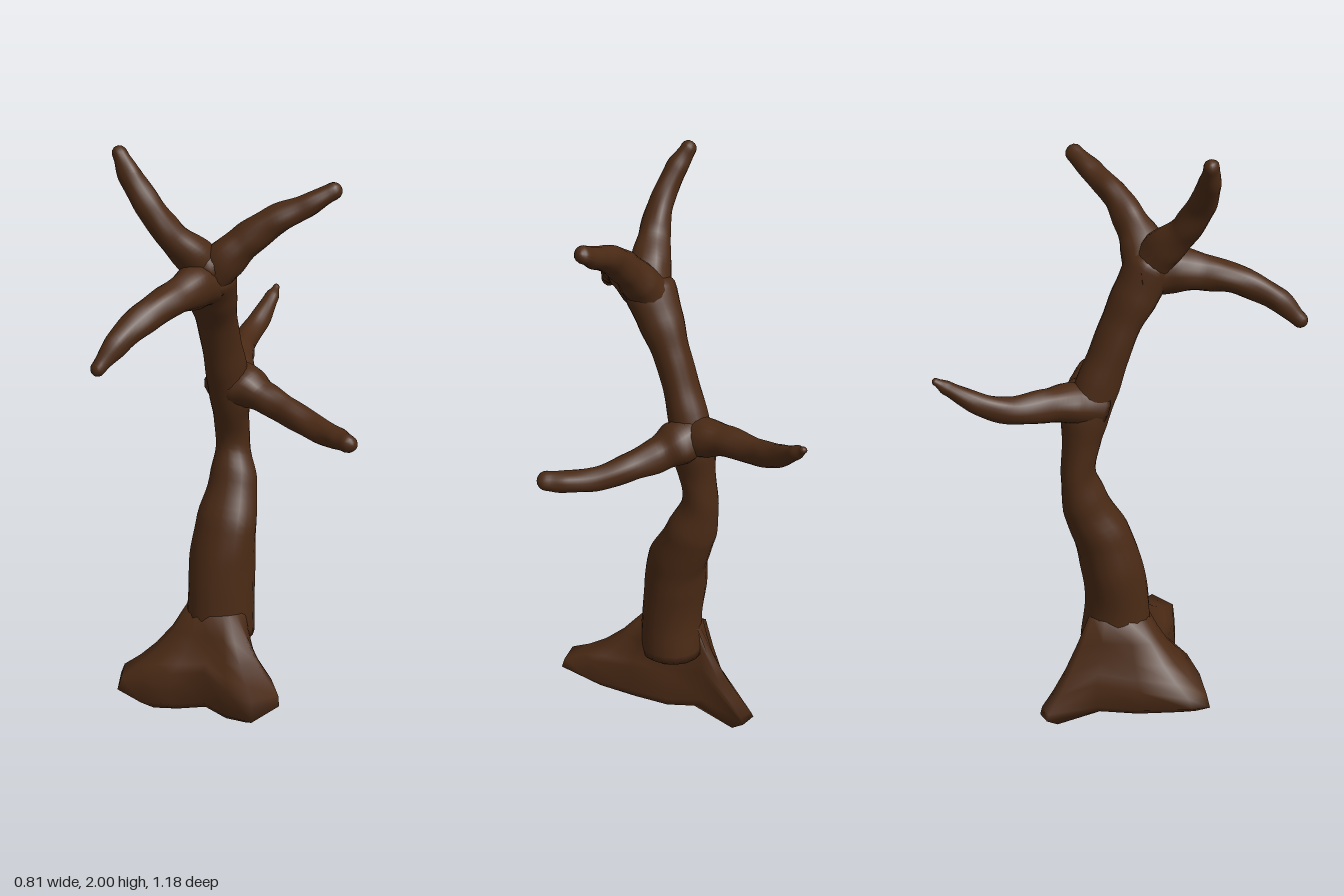
import * as THREE from 'three';

const bark = new THREE.MeshStandardMaterial({ color: 0x4a2a15, roughness: 0.9 });

// Builds a smooth skin over closed rings of equal length, with optional end points
function skin(name, rings, startPoint, endPoint) {
  const n = rings[0].length, pos = [], idx = [];
  rings.forEach(r => r.forEach(p => pos.push(p.x, p.y, p.z)));
  for (let i = 0; i < rings.length - 1; i++)
    for (let j = 0; j < n; j++) {
      const k = (j + 1) % n, a = i * n + j, b = i * n + k, c = a + n, d = b + n;
      idx.push(a, b, c, b, d, c);
    }
  const cap = (p, base, flip) => {
    const c = pos.length / 3;
    pos.push(p.x, p.y, p.z);
    for (let j = 0; j < n; j++) {
      const a = base + j, b = base + (j + 1) % n;
      idx.push(...(flip ? [b, a, c] : [a, b, c]));
    }
  };
  if (startPoint) cap(startPoint, 0, true);
  if (endPoint) cap(endPoint, (rings.length - 1) * n, false);
  const geo = new THREE.BufferGeometry();
  geo.setAttribute('position', new THREE.Float32BufferAttribute(pos, 3));
  geo.setIndex(idx);
  geo.computeVertexNormals();
  const mesh = new THREE.Mesh(geo, bark);
  mesh.name = name;
  return mesh;
}

// Tapered limb through [x, y, z, radius] stations, with a rounded tip and knobbly bark
function limb(name, stations, steps = 40, sides = 16) {
  const curve = new THREE.CatmullRomCurve3(stations.map(s => new THREE.Vector3(s[0], s[1], s[2])));
  const frames = curve.computeFrenetFrames(steps, false);
  const last = stations.length - 1;
  const ring = (c, i, r, t) => Array.from({ length: sides }, (_, j) => {
    const a = j / sides * Math.PI * 2;
    const k = r * (1 + 0.05 * Math.sin(2 * a + t * 9) + 0.03 * Math.sin(3 * a - t * 23));
    return c.clone().addScaledVector(frames.normals[i], Math.cos(a) * k)
      .addScaledVector(frames.binormals[i], Math.sin(a) * k);
  });
  const rings = [];
  for (let i = 0; i <= steps; i++) {
    const t = i / steps, f = Math.min(t * last, last - 1e-6), s = Math.floor(f);
    const r = THREE.MathUtils.lerp(stations[s][3], stations[s + 1][3], THREE.MathUtils.smoothstep(f - s, 0, 1));
    rings.push(ring(curve.getPoint(t), i, r, t));
  }
  // getPoint spaces rings by station, so the radii stay in step with the path
  const tip = curve.getPoint(1), dir = curve.getTangent(1), rTip = stations[last][3];
  for (const a of [0.4, 0.8, 1.2])
    rings.push(ring(tip.clone().addScaledVector(dir, rTip * Math.sin(a)), steps, rTip * Math.cos(a), 1));
  return skin(name, rings, curve.getPoint(0), tip.clone().addScaledVector(dir, rTip));
}

// Flared three-lobed root base: rim corners are [x, z, upper y, lower y]
function rootBase() {
  const rim = [
    [0.2, 0.28, 0.19, 0.13], [0.12, 0.33, 0.18, 0.08], [0.02, 0.29, 0.17, 0.06], [-0.09, 0.22, 0.19, 0.05],
    [-0.2, 0.25, 0.18, 0.04], [-0.3, 0.255, 0.16, 0.03], [-0.39, 0.245, 0.13, 0.06], [-0.405, 0.17, 0.14, 0.08],
    [-0.31, 0.03, 0.14, 0.05], [-0.225, -0.1, 0.15, 0.04], [-0.21, -0.275, 0.06, 0.015], [-0.155, -0.28, 0.06, 0.01],
    [-0.13, -0.1, 0.17, 0.03], [-0.01, -0.04, 0.2, 0.06], [0.06, 0.08, 0.2, 0.07], [0.15, 0.2, 0.2, 0.1]];
  const cx = -0.09, cz = 0.02;
  const top = rim.map(([x, z]) => {
    const a = Math.atan2(z - cz, x - cx);
    return new THREE.Vector3(cx + 0.108 * Math.cos(a), 0.36, cz + 0.108 * Math.sin(a));
  });
  const upper = rim.map(([x, z, h]) => new THREE.Vector3(x * 0.97, h, z * 0.97));
  const lower = rim.map(([x, z, , l]) => new THREE.Vector3(x, l + 0.025, z));
  const under = rim.map(([x, z, , l]) => new THREE.Vector3(cx + (x - cx) * 0.85, l - 0.01, cz + (z - cz) * 0.85));
  const mix = f => top.map((p, i) => p.clone().lerp(upper[i], f).add(new THREE.Vector3(0, -0.03 * Math.sin(f * Math.PI), 0)));
  const rings = [under, lower, upper, mix(0.75), mix(0.5), mix(0.25), top].map(r => r.slice().reverse());
  return skin('rootBase', rings, new THREE.Vector3(cx, 0.04, cz), new THREE.Vector3(cx, 0.38, cz));
}

export function createModel() {
  const tree = new THREE.Group();
  tree.name = 'bareTree';
  tree.add(rootBase());

  // Leaning trunk
  tree.add(limb('trunk', [
    [-0.09, 0.25, 0.02, 0.115], [-0.09, 0.4, 0.02, 0.108], [-0.09, 0.52, 0.005, 0.108], [-0.08, 0.65, -0.025, 0.1],
    [-0.078, 0.78, -0.085, 0.082], [-0.09, 0.9, -0.115, 0.06], [-0.088, 1.0, -0.1, 0.062], [-0.085, 1.1, -0.085, 0.074],
    [-0.09, 1.2, -0.05, 0.069], [-0.093, 1.3, -0.01, 0.063], [-0.092, 1.4, 0.03, 0.063], [-0.09, 1.5, 0.08, 0.075],
    [-0.085, 1.58, 0.125, 0.082], [-0.085, 1.62, 0.15, 0.06]], 72, 20));

  // Crown branches
  tree.add(limb('upperRightBranch', [
    [-0.07, 1.54, 0.11, 0.07], [-0.12, 1.65, 0.16, 0.065], [-0.18, 1.73, 0.21, 0.05], [-0.235, 1.82, 0.235, 0.042],
    [-0.295, 1.91, 0.235, 0.036], [-0.335, 1.975, 0.22, 0.025]]));
  tree.add(limb('upperLeftBranch', [
    [-0.1, 1.54, 0.11, 0.07], [-0.04, 1.63, 0.125, 0.068], [0.03, 1.7, 0.11, 0.053], [0.11, 1.765, 0.085, 0.045],
    [0.2, 1.81, 0.05, 0.038], [0.28, 1.855, 0.015, 0.028]]));
  tree.add(limb('frontBranch', [
    [-0.085, 1.56, 0.09, 0.075], [-0.105, 1.57, 0.2, 0.07], [-0.14, 1.56, 0.3, 0.056], [-0.19, 1.535, 0.4, 0.048],
    [-0.245, 1.48, 0.5, 0.038], [-0.285, 1.415, 0.565, 0.024]]));

  // Mid-trunk branches
  tree.add(limb('backBranch', [
    [-0.085, 1.13, -0.04, 0.075], [-0.09, 1.155, -0.13, 0.068], [-0.105, 1.17, -0.22, 0.053], [-0.12, 1.18, -0.35, 0.042],
    [-0.105, 1.215, -0.45, 0.036], [-0.085, 1.275, -0.54, 0.024], [-0.08, 1.3, -0.575, 0.012]]));
  tree.add(limb('leftBranch', [
    [-0.1, 1.15, -0.075, 0.07], [-0.03, 1.135, -0.075, 0.075], [0.04, 1.11, -0.055, 0.055], [0.13, 1.085, -0.025, 0.046],
    [0.24, 1.06, 0.025, 0.041], [0.32, 1.06, 0.075, 0.037], [0.37, 1.065, 0.115, 0.031]]));
  return tree;
}
